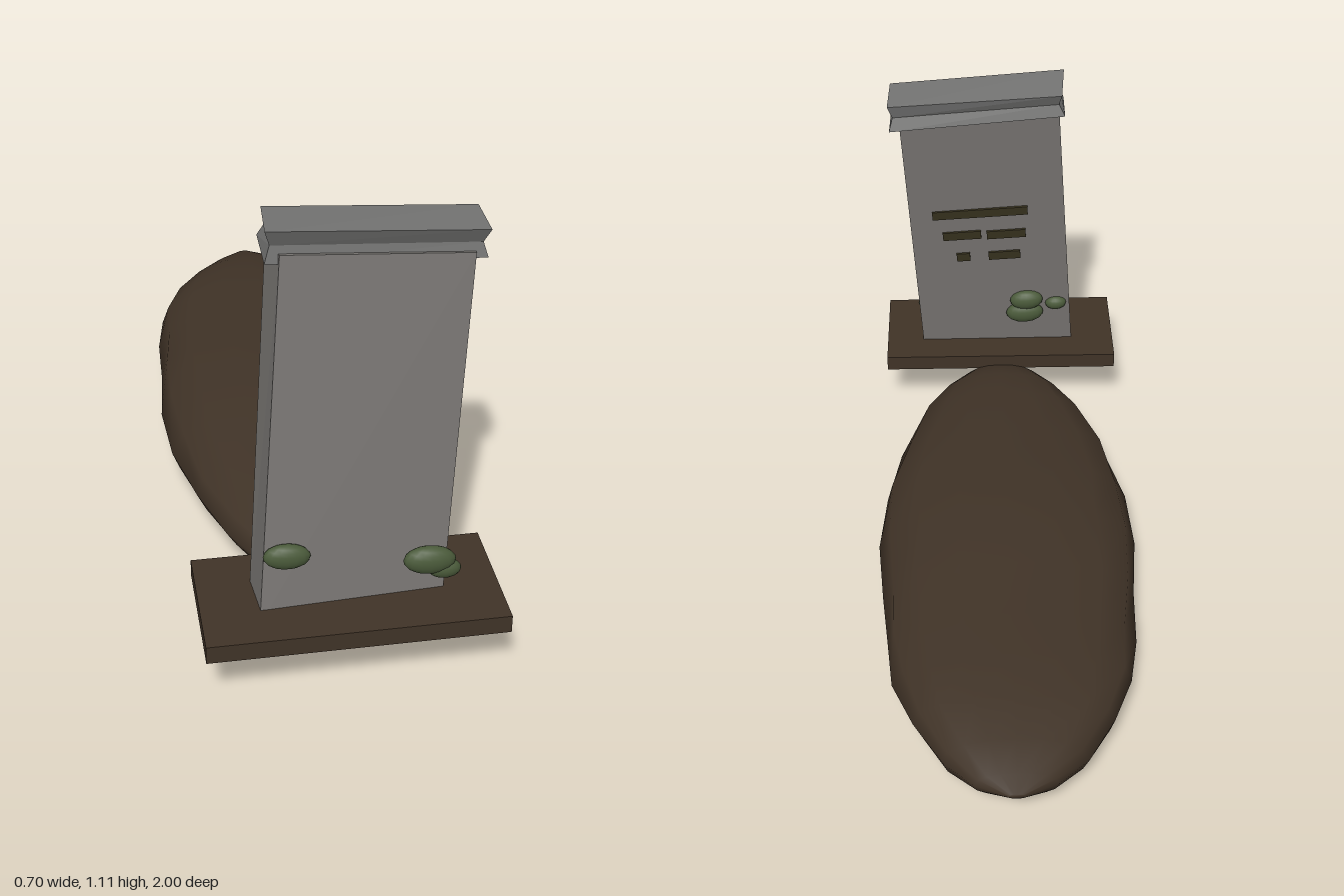
import * as THREE from 'three';

const mat = (name, color, side = THREE.FrontSide) => {
  const m = new THREE.MeshStandardMaterial({ color, side });
  m.name = name;
  return m;
};

// Box bent to eight corners: [bottom, top] x [back, front] x [-x, +x]; waist pulls in the middle row.
function cornerBox(corners, waist = 0) {
  const c = corners.map(p => new THREE.Vector3(...p));
  const geo = new THREE.BoxGeometry(1, 1, 1, 1, waist ? 2 : 1, 1);
  const pos = geo.attributes.position;
  for (let i = 0; i < pos.count; i++) {
    const u = pos.getX(i) + 0.5, v = pos.getY(i) + 0.5, w = pos.getZ(i) + 0.5;
    const level = k => c[k].clone().lerp(c[k + 1], u).lerp(c[k + 2].clone().lerp(c[k + 3], u), w);
    const p = level(0).lerp(level(4), v);
    if (v === 0.5) {
      p.x -= waist * Math.sign(u - 0.5);
      p.z -= waist * Math.sign(w - 0.5);
    }
    pos.setXYZ(i, p.x, p.y, p.z);
  }
  const flat = geo.toNonIndexed();
  flat.computeVertexNormals();
  return flat;
}

// Lumpy mound lofted through stations of [z, half width, top, bottom].
function moundGeometry() {
  const stations = [
    [0.73, 0.02, 0.13, 0.11], [0.68, 0.1, 0.165, 0.085], [0.6, 0.17, 0.19, 0.05],
    [0.48, 0.235, 0.208, 0.043], [0.3, 0.298, 0.223, 0.022], [0.1, 0.34, 0.238, 0.016],
    [-0.1, 0.345, 0.25, 0.005], [-0.3, 0.338, 0.238, 0.01], [-0.48, 0.32, 0.224, 0.022],
    [-0.62, 0.298, 0.22, 0.03], [-0.75, 0.253, 0.205, 0.043], [-0.87, 0.175, 0.187, 0.047],
    [-0.95, 0.1, 0.16, 0.085], [-1, 0.02, 0.145, 0.13],
  ];
  const n = 16, verts = [], index = [];
  stations.forEach(([z, hw, top, bottom], i) => {
    const mid = top * 0.45 + bottom * 0.55;
    for (let j = 0; j < n; j++) {
      const a = j / n * Math.PI * 2, s = Math.sin(a);
      const wobble = 1 + 0.02 * Math.sin(i * 2.3 + j * 1.7);
      const h = Math.sign(s) * Math.pow(Math.abs(s), 0.75);
      verts.push(hw * Math.cos(a) * wobble, mid + h * (s > 0 ? top - mid : mid - bottom), z);
      const a0 = i * n + j, b0 = i * n + (j + 1) % n;
      if (i < stations.length - 1) index.push(a0, a0 + n, b0, b0, a0 + n, b0 + n);
    }
  });
  // End caps
  const last = (stations.length - 1) * n;
  for (let j = 1; j < n - 1; j++) index.push(0, j, j + 1, last, last + j + 1, last + j);
  const geo = new THREE.BufferGeometry();
  geo.setAttribute('position', new THREE.Float32BufferAttribute(verts, 3));
  geo.setIndex(index);
  geo.computeVertexNormals();
  return geo;
}

export function createModel() {
  const model = new THREE.Group();
  model.name = 'gravestone';
  const stone = mat('stone', 0x797673);
  const capStone = mat('capStone', 0x747473);
  const soil = mat('soil', 0x403327);
  const mossGreen = mat('mossGreen', 0x4a5a3a);
  const engraving = mat('engraving', 0x38321f);

  const add = (name, geo, material, parent = model) => {
    const mesh = new THREE.Mesh(geo, material);
    mesh.name = name;
    parent.add(mesh);
    return mesh;
  };

  // Ground
  add('graveMound', moundGeometry(), soil);
  add('basePlate', new THREE.BoxGeometry(0.7, 0.045, 0.32), soil).position.set(0, 0.176, 0.84);

  // Leaning headstone and its cap
  add('headstone', cornerBox([
    [-0.225, 0.15, 0.785], [0.235, 0.125, 0.785], [-0.215, 0.16, 0.895], [0.215, 0.14, 0.875],
    [-0.165, 1.04, 0.675], [0.285, 1.01, 0.675], [-0.15, 1.05, 0.785], [0.28, 1.02, 0.78],
  ]), stone);
  add('headstoneCap', cornerBox([
    [-0.18, 1.035, 0.65], [0.312, 0.995, 0.645], [-0.182, 1.028, 0.78], [0.308, 1.003, 0.775],
    [-0.17, 1.1, 0.645], [0.315, 1.07, 0.648], [-0.182, 1.11, 0.79], [0.31, 1.075, 0.785],
  ], 0.012), capStone);

  // Engraved strokes on the back face: [x from, x to, y]
  const strokes = new THREE.Group();
  strokes.name = 'engravedStrokes';
  model.add(strokes);
  for (const [x0, x1, y0] of [
    [-0.08, 0.2, 0.69], [0.057, 0.17, 0.608], [-0.075, 0.04, 0.612], [0.09, 0.13, 0.527], [-0.06, 0.035, 0.533],
  ]) {
    const x = (x0 + x1) / 2;
    const bar = add('engravedStroke', new THREE.BoxGeometry(x1 - x0, 0.028, 0.009), engraving, strokes);
    bar.position.set(x, y0, 0.784 - 0.125 * (y0 - 0.138 + 0.054 * x));
    bar.rotation.set(-0.124, 0, -0.065);
  }

  // Moss clumps: [x, y, z, rx, ry, rz]
  const moss = new THREE.Group();
  moss.name = 'moss';
  model.add(moss);
  for (const [x, y, z, rx, ry, rz] of [
    [-0.15, 0.336, 0.88, 0.055, 0.032, 0.022], [0.18, 0.292, 0.885, 0.062, 0.036, 0.025],
    [0.215, 0.265, 0.885, 0.04, 0.025, 0.02], [-0.075, 0.312, 0.755, 0.057, 0.034, 0.025],
    [-0.08, 0.358, 0.753, 0.05, 0.032, 0.025], [-0.17, 0.342, 0.76, 0.032, 0.022, 0.02],
  ]) {
    const clump = add('mossClump', new THREE.SphereGeometry(1, 16, 10), mossGreen, moss);
    clump.position.set(x, y, z);
    clump.scale.set(rx, ry, rz);
    clump.rotation.z = -0.065;
  }
  return model;
}
